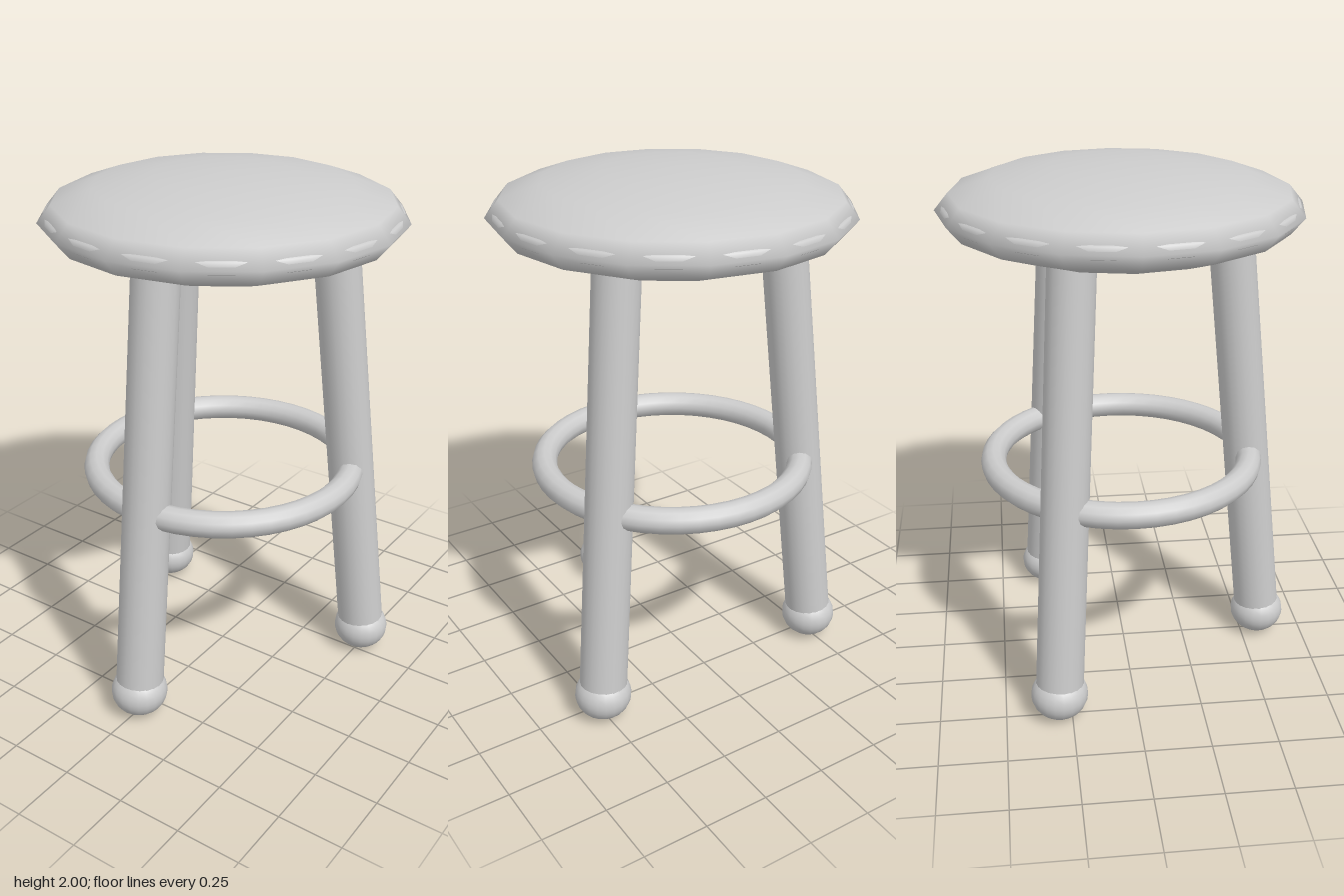
import * as THREE from 'three';

export function createModel() {
  const model = new THREE.Group();
  model.name = 'stool';
  const grey = new THREE.MeshStandardMaterial({ color: 0xcccccc });
  grey.name = 'light grey';

  const add = (parent, name, geometry) => {
    const mesh = new THREE.Mesh(geometry, grey);
    mesh.name = name;
    parent.add(mesh);
    return mesh;
  };

  const body = new THREE.Group();
  body.name = 'stoolBody';
  body.position.z = -0.008;
  model.add(body);

  // Cushion: a flattened sphere with sixteen sides
  const seat = add(body, 'seat', new THREE.SphereGeometry(0.667, 16, 8).scale(1, 0.24, 1));
  seat.position.y = 1.84;

  // Piping that just breaks through the cushion's rim
  const piping = add(body, 'seatPiping', new THREE.TorusGeometry(0.62, 0.03, 8, 48).rotateX(Math.PI / 2));
  piping.position.y = 1.843;

  // Foot ring
  const ring = add(body, 'footRing', new THREE.TorusGeometry(0.5, 0.049, 12, 48).rotateX(Math.PI / 2));
  ring.position.y = 0.845;

  // Three splayed legs with ball feet, one of them at the front
  const foot = new THREE.Vector3(0, 0.095, 0.576);
  const top = new THREE.Vector3(0, 1.78, 0.402);
  const axis = top.clone().sub(foot);
  for (let i = 0; i < 3; i++) {
    const assembly = new THREE.Group();
    assembly.name = ['frontLeg', 'backLeftLeg', 'backRightLeg'][i];
    assembly.rotation.y = (i * Math.PI * 2) / 3;
    body.add(assembly);

    const leg = add(assembly, 'leg', new THREE.CylinderGeometry(0.086, 0.091, axis.length(), 20));
    leg.position.copy(foot).add(top).multiplyScalar(0.5);
    leg.quaternion.setFromUnitVectors(new THREE.Vector3(0, 1, 0), axis.clone().normalize());

    const ball = add(assembly, 'ballFoot', new THREE.SphereGeometry(0.108, 20, 14).scale(1, 0.88, 1));
    ball.position.copy(foot);
  }
  return model;
}
